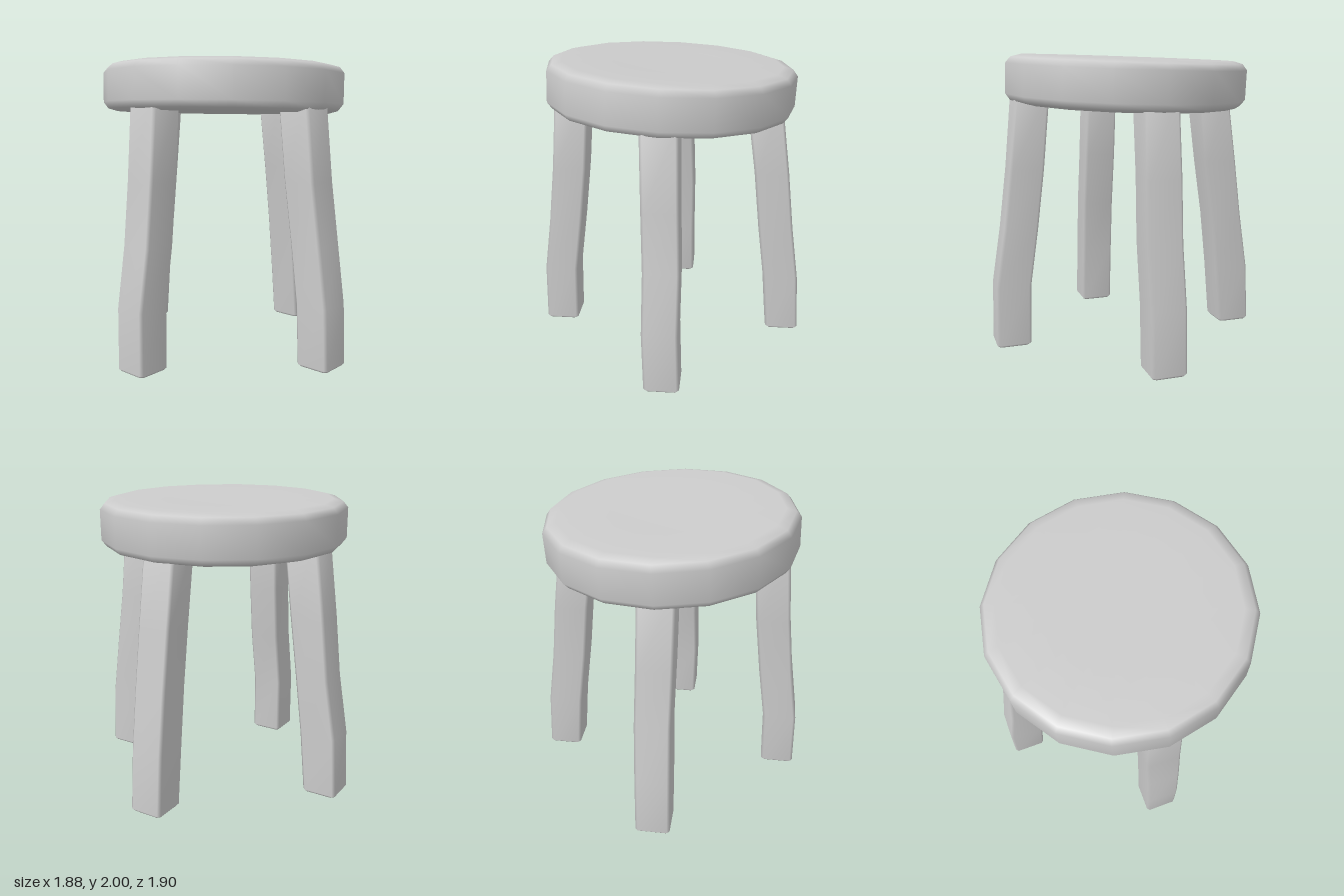
import * as THREE from 'three';
import { mergeVertices } from 'three/addons/utils/BufferGeometryUtils.js';

const material = new THREE.MeshStandardMaterial({ color: 0xcccccc });

// Sixteen-sided slab with softened rims
function seatGeometry() {
  const profile = [
    [0, 0], [0.74, 0], [0.805, 0.018], [0.837, 0.06],
    [0.837, 0.262], [0.805, 0.302], [0.74, 0.32], [0.4, 0.313], [0, 0.31],
  ].map(([r, y]) => new THREE.Vector2(r, y));
  const lathe = new THREE.LatheGeometry(profile, 16);
  lathe.deleteAttribute('normal');
  lathe.deleteAttribute('uv');
  const geometry = mergeVertices(lathe, 1e-4);
  geometry.computeVertexNormals();
  return geometry;
}

// Square section with chamfered corners, swept through rings of
// [height, inner edge, outer edge, sideways shift, inset]; +z points outward
function legGeometry(rings) {
  const positions = [];
  const index = [];
  const chamfer = 0.018;
  const half = 0.117;
  for (const [y, inner, outer, shift, inset = 0] of rings) {
    const w = half - inset;
    const d = (outer - inner) / 2 - inset;
    const mid = (inner + outer) / 2;
    const section = [
      [w - chamfer, d], [w, d - chamfer], [w, chamfer - d], [w - chamfer, -d],
      [chamfer - w, -d], [-w, chamfer - d], [-w, d - chamfer], [chamfer - w, d],
    ];
    for (const [x, z] of section) positions.push(x + shift, y, z + mid);
  }
  const n = 8;
  const last = (rings.length - 1) * n;
  const bottom = rings.length * n;
  for (const [y, inner, outer, shift] of [rings[0], rings[rings.length - 1]]) {
    positions.push(shift, y, (inner + outer) / 2);
  }
  for (let i = 0; i < n; i++) {
    const j = (i + 1) % n;
    for (let r = 0; r < last; r += n) {
      index.push(r + i, r + j, r + n + j, r + i, r + n + j, r + n + i);
    }
    index.push(bottom, j, i, bottom + 1, last + i, last + j);
  }
  const geometry = new THREE.BufferGeometry();
  geometry.setAttribute('position', new THREE.Float32BufferAttribute(positions, 3));
  geometry.setIndex(index);
  geometry.computeVertexNormals();
  return geometry;
}

// Inner and outer edges of each crooked leg at five heights, with sideways shifts
const heights = [0.015, 0.42, 0.82, 1.22, 1.75];
const legs = [
  { name: 'frontLeg', turn: 0,
    inner: [0.72, 0.71, 0.655, 0.605, 0.555], outer: [0.955, 0.945, 0.885, 0.835, 0.785],
    shift: [0.008, -0.002, 0.004, -0.006, -0.014] },
  { name: 'leftLeg', turn: Math.PI / 2,
    inner: [0.705, 0.67, 0.618, 0.575, 0.5], outer: [0.94, 0.915, 0.857, 0.81, 0.735],
    shift: [-0.014, -0.01, -0.016, -0.008, -0.004] },
  { name: 'backLeg', turn: Math.PI,
    inner: [0.715, 0.68, 0.635, 0.58, 0.515], outer: [0.95, 0.93, 0.866, 0.82, 0.75],
    shift: [0.003, 0.003, -0.002, 0.008, 0.016] },
  { name: 'rightLeg', turn: -Math.PI / 2,
    inner: [0.71, 0.7, 0.645, 0.6, 0.56], outer: [0.945, 0.935, 0.877, 0.832, 0.787],
    shift: [0.014, 0.008, 0.014, 0.008, 0.002] },
];

export function createModel() {
  const model = new THREE.Group();
  model.name = 'stool';

  // Slightly tilted seat
  const seat = new THREE.Mesh(seatGeometry(), material);
  seat.name = 'seat';
  seat.position.set(-0.015, 1.645, 0);
  seat.rotation.set(-0.022, 0, -0.042);
  model.add(seat);

  // Four splayed legs, each with a softened foot
  for (const { name, turn, inner, outer, shift } of legs) {
    const rings = heights.map((y, i) => [y, inner[i], outer[i], shift[i]]);
    rings.unshift([0, inner[0], outer[0], shift[0], 0.012]);
    const leg = new THREE.Mesh(legGeometry(rings), material);
    leg.name = name;
    leg.rotation.y = turn;
    model.add(leg);
  }
  return model;
}
